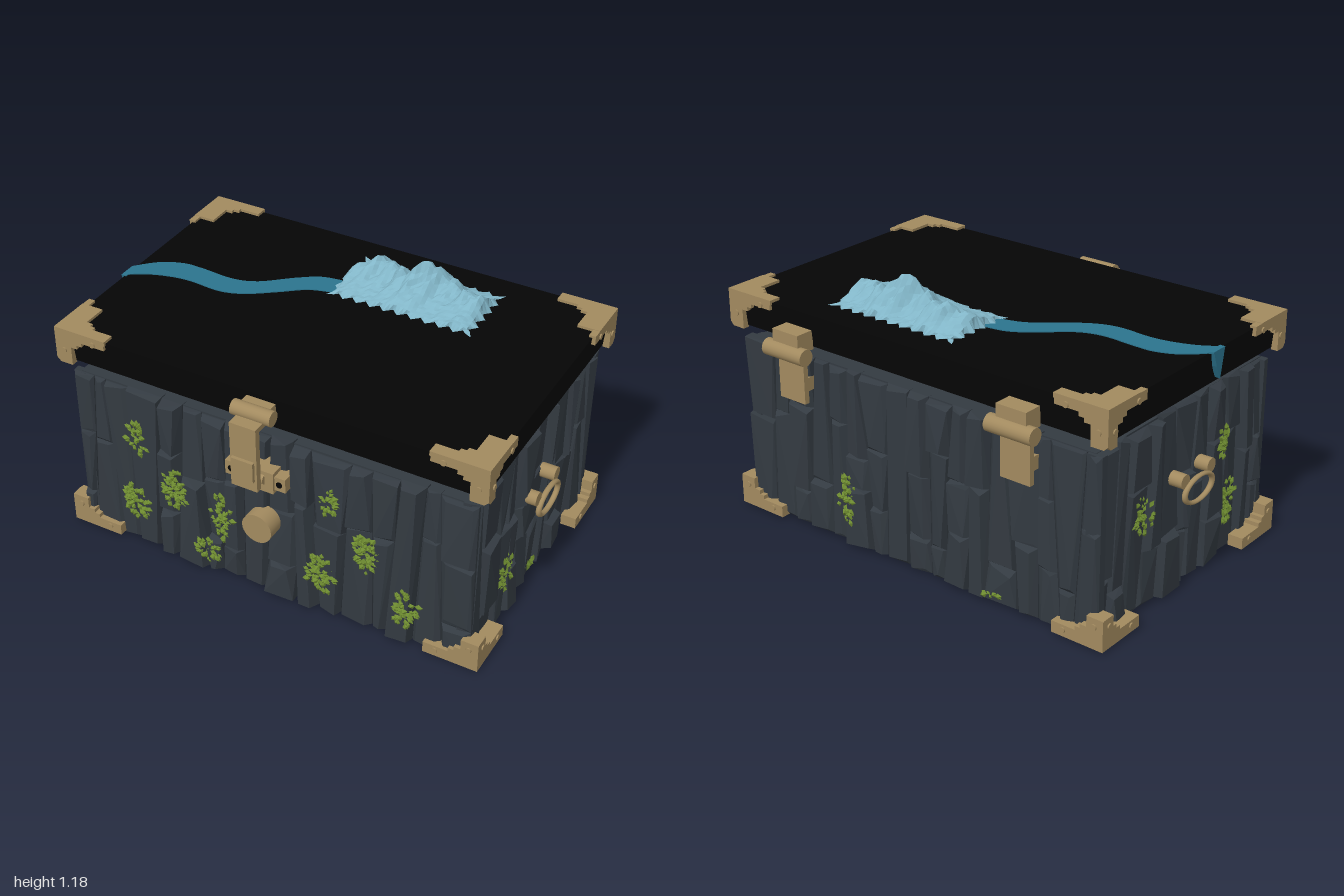
import * as THREE from 'three';
import { mergeGeometries } from 'three/addons/utils/BufferGeometryUtils.js';
import { ConvexGeometry } from 'three/addons/geometries/ConvexGeometry.js';

const mat = (name, color) => Object.assign(new THREE.MeshStandardMaterial({ color }), { name });

export function createModel() {
  const slate = mat('slate', 0x333a41), lidBlack = mat('lidBlack', 0x050505), brass = mat('brass', 0xa28a5f);
  const ice = mat('ice', 0x82b6c8), water = mat('water', 0x2b748e), moss = mat('moss', 0x6d8a30);
  const root = new THREE.Group();
  root.name = 'chest';
  let seed = 7;
  const rnd = (a = 0, b = 1) => {
    seed = (seed * 16807) % 2147483647;
    return a + (b - a) * seed / 2147483647;
  };
  const add = (name, geo, material, parent = root) => {
    const m = new THREE.Mesh(geo, material);
    m.name = name;
    parent.add(m);
    return m;
  };
  // Box given by its limits on each axis
  const box = (x0, x1, y0, y1, z0, z1) =>
    new THREE.BoxGeometry(x1 - x0, y1 - y0, z1 - z0).translate((x0 + x1) / 2, (y0 + y1) / 2, (z0 + z1) / 2);
  const rod = (r, len, x, y, z, axis = 'x', sides = 20) => {
    const g = new THREE.CylinderGeometry(r, r, len, sides);
    if (axis === 'x') g.rotateZ(Math.PI / 2);
    if (axis === 'z') g.rotateX(Math.PI / 2);
    return g.translate(x, y, z);
  };
  const group = (name, parent = root) => {
    const g = new THREE.Group();
    g.name = name;
    parent.add(g);
    return g;
  };
  const CZ = -0.025; // depth centre of the chest

  // Body core
  add('bodyCore', box(-0.9, 0.9, 0.008, 0.81, -0.605, 0.56), slate);
  add('basePlate', box(-0.88, 0.88, 0, 0.01, -0.53, 0.52), slate);

  // Walls of rough split stone columns with leaning joints
  const walls = [
    { name: 'frontStone', len: 1.87, angle: 0, x: 0, z: 0.565, end: 0.72, thick: 0.05 },
    { name: 'backStone', len: 1.87, angle: Math.PI, x: 0, z: -0.61, end: 0.72, thick: 0.036 },
    { name: 'leftStone', len: 1.19, angle: Math.PI / 2, x: 0.9, z: CZ, end: 9, thick: 0.04 },
    { name: 'rightStone', len: 1.19, angle: -Math.PI / 2, x: -0.9, z: CZ, end: 9, thick: 0.04 },
  ];
  const onWall = (geo, w) => geo.rotateY(w.angle).translate(w.x, 0, w.z);
  for (const w of walls) {
    const blocks = [];
    w.faces = [];
    let left = { u: -w.len / 2, lean: 0 };
    while (left.u < w.len / 2 - 0.05) {
      const u = left.u + rnd(0.075, 0.145), last = u > w.len / 2 - 0.05;
      const right = { u: last ? w.len / 2 : u, lean: last ? 0 : rnd(-0.04, 0.04) };
      const cuts = [0.01];
      if (rnd() < 0.45) cuts.push(rnd(0.14, 0.33));
      if (rnd() < 0.75) cuts.push(rnd(0.42, 0.58));
      cuts.push(rnd(0.8, 0.82));
      const nearEnd = Math.max(Math.abs(left.u), Math.abs(right.u)) > w.end;
      for (let i = 0; i + 1 < cuts.length; i++) {
        const pts = [], depth = nearEnd ? rnd(0.012, 0.022) : rnd(0.014, w.thick);
        w.faces.push({ u0: left.u, u1: right.u, y0: cuts[i], y1: cuts[i + 1], depth });
        for (const [edge, sa] of [[left, 1], [right, -1]])
          for (const [b, sb, tilt] of [[cuts[i], 1, rnd(0, 0.025)], [cuts[i + 1], -1, rnd(0, 0.025)]]) {
            const a = edge.u + edge.lean * (b - 0.4) * 2;
            const d = depth + rnd(-0.01, nearEnd ? 0.008 : 0.014);
            pts.push(new THREE.Vector3(a, b, -0.03), new THREE.Vector3(a + sa * 0.002, b, 0));
            pts.push(new THREE.Vector3(a + sa * rnd(0.003, 0.03), b + sb * tilt, d));
          }
        blocks.push(new ConvexGeometry(pts));
      }
      left = right;
    }
    add(w.name, onWall(mergeGeometries(blocks), w), slate);
  }

  // Moss clumps: wall, position along it, height, half width, half height
  const clumps = [
    [0, -0.62, 0.58, 0.045, 0.09], [0, -0.65, 0.23, 0.065, 0.09], [0, -0.43, 0.39, 0.065, 0.1],
    [0, -0.21, 0.31, 0.05, 0.12], [0, -0.28, 0.13, 0.06, 0.06], [0, 0.3, 0.61, 0.04, 0.075],
    [0, 0.47, 0.39, 0.055, 0.1], [0, 0.27, 0.21, 0.06, 0.1], [0, 0.65, 0.2, 0.05, 0.1],
    [1, -0.35, 0.22, 0.05, 0.11], [1, 0.43, 0.05, 0.03, 0.015],
    [2, -0.28, 0.24, 0.05, 0.1], [2, 0.01, 0.06, 0.035, 0.012],
    [3, -0.3, 0.44, 0.05, 0.09], [3, 0.35, 0.24, 0.05, 0.1], [3, 0.27, 0.55, 0.04, 0.08],
  ];
  const tufts = [];
  for (const [wall, cu, cy, hw, hh] of clumps)
    for (let i = 0; i < Math.ceil(9000 * hw * hh) + 8; i++) {
      const a = rnd(0, Math.PI * 2), r = Math.sqrt(rnd()), s = rnd(0.012, 0.022);
      const u = cu + Math.cos(a) * r * hw + rnd(-0.012, 0.012), y = cy + Math.sin(a) * r * hh;
      const face = walls[wall].faces.find(f => u >= f.u0 && u <= f.u1 && y >= f.y0 && y <= f.y1);
      const g = new THREE.OctahedronGeometry(s, 0).scale(1, 0.75, 0.55).rotateZ(a);
      tufts.push(onWall(g.translate(u, y, (face ? face.depth : 0.03) + rnd(0, 0.01)), walls[wall]));
    }
  add('moss', mergeGeometries(tufts), moss);

  // Lid slab, narrowing slightly toward the bottom
  const slab = box(-0.97, 0.97, 0.87, 1.015, -0.643, 0.593);
  const p = slab.attributes.position;
  for (let i = 0; i < p.count; i++)
    if (p.getY(i) < 0.9) p.setXYZ(i, p.getX(i) * 0.985, p.getY(i), CZ + (p.getZ(i) - CZ) * 0.975);
  slab.computeVertexNormals();
  add('lid', slab, lidBlack);
  add('lidUnderside', box(-0.9, 0.9, 0.857, 0.875, -0.53, 0.49), lidBlack);

  // Stepped corner brackets with a clipped outer corner
  const stepPlate = (L, H, t, u, sa, sb, depth, clip = 0) => {
    const pts = [[0, 0], [L, 0], [L, t], [u + 0.055, t], [u + 0.055, t + 0.018], [u + 0.03, t + 0.018],
      [u + 0.03, t + 0.036], [u, t + 0.036], [u, H], [clip, H], [0, H - clip]];
    return new THREE.ExtrudeGeometry(new THREE.Shape(pts.map(([a, b]) => new THREE.Vector2(a * sa, b * sb))),
      { depth, bevelEnabled: false });
  };
  const bracket = (name, sx, sz, y, H, t, up, depth, clip) => {
    const g = group(name);
    g.position.set(sx * 0.985, y, CZ + sz * 0.629);
    g.scale.set(sx, 1, sz);
    add('frontPlate', stepPlate(0.245, H, t, 0.078, -1, up, depth, clip).translate(0, 0, -depth), brass, g);
    add('sidePlate', stepPlate(0.245, H, t, 0.06, 1, up, depth, clip).rotateY(Math.PI / 2).translate(-depth, 0, 0), brass, g);
    for (const [a, b] of [[0.19, 0.03], [0.042, 0.1]]) {
      add('rivet', rod(0.013, 0.012, -a, up * b, 0, 'z', 10), brass, g);
      add('rivet', rod(0.013, 0.012, 0, up * b, -a, 'x', 10), brass, g);
    }
    return g;
  };
  for (const sx of [1, -1])
    for (const sz of [1, -1]) {
      bracket('bottomCorner', sx, sz, 0.008, 0.138, 0.052, 1, 0.07, 0.004);
      const lidCorner = bracket('lidCorner', sx, sz, 1.025, 0.165, 0.042, -1, 0.03, 0.018);
      add('topPlate', stepPlate(0.25, 0.2, 0.055, 0.1, -1, 1, 0.02).rotateX(-Math.PI / 2).translate(0, -0.018, 0), brass, lidCorner);
    }

  // Side handles: a hanging oval ring on two knobs
  for (const s of [1, -1]) {
    const g = group(s > 0 ? 'leftHandle' : 'rightHandle');
    const ring = new THREE.TorusGeometry(0.099, 0.014, 10, 40).scale(1, 0.55, 0.85).rotateY(Math.PI / 2);
    add('ring', ring.translate(s * 0.988, 0.46, CZ + 0.003), brass, g);
    for (const dz of [-0.094, 0.094]) add('knob', rod(0.031, 0.07, s * 0.948, 0.52, CZ + 0.007 + dz), brass, g);
  }

  // Rear hinges
  for (const x of [-0.59, 0.59]) {
    const g = group('hinge');
    add('barrel', rod(0.037, 0.22, x, 0.855, -0.711), brass, g);
    add('lidBlock', box(x - 0.072, x + 0.072, 0.86, 0.945, -0.718, -0.63), brass, g);
    add('lowerLeaf', box(x - 0.072, x + 0.072, 0.63, 0.85, -0.692, -0.668), brass, g);
    add('leafMount', box(x - 0.05, x + 0.05, 0.67, 0.73, -0.67, -0.6), brass, g);
  }

  // Front latch
  const latch = group('latch');
  add('pivot', rod(0.033, 0.18, 0, 0.97, 0.651), brass, latch);
  add('pivotMount', box(-0.065, 0.065, 0.945, 0.995, 0.58, 0.65), brass, latch);
  add('armTop', box(-0.06, 0.06, 0.935, 0.957, 0.65, 0.735), brass, latch);
  add('arm', box(-0.06, 0.06, 0.655, 0.95, 0.707, 0.735), brass, latch);
  add('armPad', box(-0.05, 0.05, 0.705, 0.8, 0.73, 0.75), brass, latch);
  add('catchPlate', box(-0.09, 0.09, 0.608, 0.708, 0.57, 0.665), brass, latch);
  add('catchEars', box(-0.14, 0.14, 0.625, 0.69, 0.57, 0.655), brass, latch);
  add('catchHook', rod(0.024, 0.1, 0, 0.668, 0.658), brass, latch);
  for (const x of [-0.112, 0.112]) add('earHole', rod(0.014, 0.006, x, 0.657, 0.655, 'z', 12), lidBlack, latch);
  add('frontDisc', rod(0.069, 0.08, 0, 0.387, 0.618, 'z', 28), brass);

  // River across the lid, given by its two banks
  const banks = [
    [-0.985, 0.045, 0.125], [-0.9, -0.04, 0.07], [-0.8, -0.085, 0.035], [-0.7, -0.088, 0.022], [-0.55, -0.08, 0.03],
    [-0.44, -0.115, -0.005], [-0.32, -0.215, -0.09], [-0.22, -0.28, -0.165], [-0.1, -0.3, -0.2],
  ];
  const bank = k => new THREE.SplineCurve(banks.map(b => new THREE.Vector2(b[0], -b[k]))).getPoints(40);
  const river = new THREE.Shape([...bank(1), ...bank(2).reverse()]);
  add('river', new THREE.ExtrudeGeometry(river, { depth: 0.006, bevelEnabled: false })
    .rotateX(-Math.PI / 2).translate(0, 1.013, 0), water);
  const fall = new THREE.Shape([[-0.125, 1.019], [-0.045, 1.019], [-0.07, 0.95], [-0.1, 0.89]].map(q => new THREE.Vector2(...q)));
  add('waterfall', new THREE.ExtrudeGeometry(fall, { depth: 0.024, bevelEnabled: false })
    .rotateY(Math.PI / 2).translate(-0.985, 0, 0), water);

  // Mountain range: a height field from two ridge profiles, with a saw-tooth rim
  const profile = (pts, v) => {
    for (let i = 1; i < pts.length; i++)
      if (v <= pts[i][0]) {
        const [a, ha] = pts[i - 1], [b, hb] = pts[i];
        return ha + (hb - ha) * (v - a) / (b - a);
      }
    return 0;
  };
  const alongX = [[-0.14, 0], [-0.1, 0.34], [-0.04, 0.56], [0.02, 0.62], [0.08, 0.56], [0.12, 0.66], [0.17, 0.7],
    [0.235, 1], [0.29, 0.72], [0.34, 0.6], [0.39, 0.46], [0.45, 0.54], [0.5, 0.4], [0.54, 0]];
  const alongZ = [[-0.51, 0], [-0.48, 0.06], [-0.45, 0.3], [-0.42, 0.66], [-0.375, 1], [-0.31, 0.5], [-0.25, 0.24], [-0.2, 0.08], [-0.17, 0]];
  const NX = 40, NZ = 20;
  const peaks = new THREE.PlaneGeometry(0.645, 0.325, NX, NZ).rotateX(-Math.PI / 2).translate(0.198, 0, -0.345);
  const q = peaks.attributes.position;
  const tooth = i => 0.03 * (Math.abs(i % 4 - 2) / 2 - 0.5);
  for (let i = 0; i < q.count; i++) {
    const ix = i % (NX + 1), iz = Math.floor(i / (NX + 1)), x = q.getX(i), z = q.getZ(i);
    // Spurs run down the slopes, and the crest wanders along the range
    const crest = z + 0.03 * Math.sin(x * 22 - 5.2);
    const rough = 0.88 + 0.14 * Math.sin(x * 85 + z * 25) + rnd(-0.08, 0.08);
    const top = Math.hypot(x - 0.235, z + 0.375) < 0.03 ? 1 : rough;
    const h = 0.17 * profile(alongX, x) * profile(alongZ, crest) * top;
    const ex = ix === 0 ? -1 : ix === NX ? 1 : 0, ez = iz === 0 ? -1 : iz === NZ ? 1 : 0;
    q.setXYZ(i, x + ex * tooth(iz), ex || ez ? 1.018 : 1.022 + h + rnd(0, 0.006), z + ez * tooth(ix));
  }
  const faceted = peaks.toNonIndexed();
  faceted.computeVertexNormals();
  add('mountains', faceted, ice);

  return root;
}
